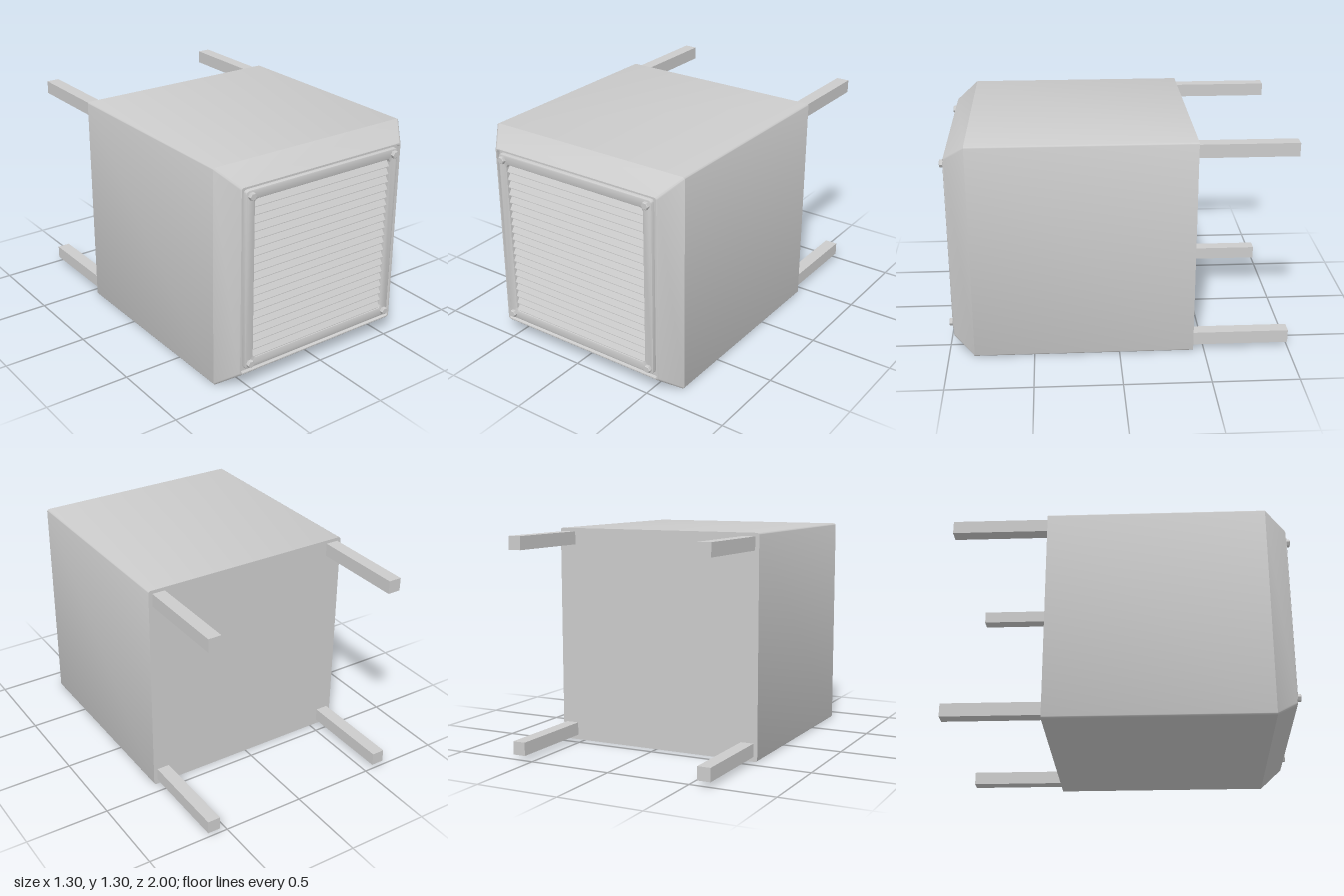
import * as THREE from 'three';
import { toCreasedNormals } from 'three/addons/utils/BufferGeometryUtils.js';

const CY = 0.65; // height of the cabinet's centre
const material = new THREE.MeshStandardMaterial({ color: 0xcccccc });

function add(parent, name, geometry, x = 0, y = 0, z = 0) {
  const mesh = new THREE.Mesh(geometry, material);
  mesh.name = name;
  mesh.position.set(x, y, z);
  parent.add(mesh);
  return mesh;
}

// Rounded square outline, counter-clockwise seen from the front
function squarePoints(half, radius, steps = 5) {
  const points = [];
  for (let corner = 0; corner < 4; corner++) {
    const mid = Math.PI / 4 + corner * Math.PI / 2;
    const cx = Math.sign(Math.cos(mid)) * (half - radius);
    const cy = Math.sign(Math.sin(mid)) * (half - radius);
    for (let i = 0; i <= steps; i++) {
      const a = (corner + i / steps) * Math.PI / 2;
      points.push(new THREE.Vector2(cx + radius * Math.cos(a), cy + radius * Math.sin(a)));
    }
  }
  return points;
}

// Skin through rounded squares given as [half width, z, corner radius]
function loftSquares(sections) {
  const positions = [], index = [];
  const rings = sections.map(([half, , radius]) => squarePoints(half, radius));
  const n = rings[0].length;
  rings.forEach((ring, i) => ring.forEach(p => positions.push(p.x, p.y, sections[i][1])));
  for (let i = 0; i < rings.length - 1; i++) {
    for (let j = 0; j < n; j++) {
      const a = i * n + j, b = i * n + (j + 1) % n;
      index.push(a, b, b + n, a, b + n, a + n);
    }
  }
  const geometry = new THREE.BufferGeometry();
  geometry.setAttribute('position', new THREE.Float32BufferAttribute(positions, 3));
  geometry.setIndex(index);
  return toCreasedNormals(geometry, 0.5);
}

export function createModel() {
  const group = new THREE.Group();

  // Cabinet skin: straight sides, sloped hood, raised lip and groove
  add(group, 'cabinetShell', loftSquares([
    [0.65, -0.435, 0.015], [0.65, 0.85, 0.015],
    [0.562, 0.967, 0.015], [0.557, 0.972, 0.014], [0.55, 0.972, 0.012],
    [0.546, 0.955, 0.01], [0.5, 0.955, 0.01],
  ]), 0, CY, 0);
  const back = new THREE.ShapeGeometry(new THREE.Shape(squarePoints(0.65, 0.015)));
  back.rotateY(Math.PI);
  add(group, 'backPanel', back, 0, CY, -0.435);

  // Grille frame with a rounded opening
  const frameShape = new THREE.Shape(squarePoints(0.532, 0.02));
  frameShape.holes.push(new THREE.Path(squarePoints(0.475, 0.02).reverse()));
  const frame = new THREE.ExtrudeGeometry(frameShape, {
    depth: 0.05, bevelEnabled: true, bevelThickness: 0.006, bevelSize: 0.006,
    bevelOffset: -0.006, bevelSegments: 2,
  });
  add(group, 'grilleFrame', toCreasedNormals(frame, 0.5), 0, CY + 0.005, 0.924);

  // Louvre slats, each leaning back towards its top
  const slats = 20, pitch = 0.0475, width = 0.965;
  const slatShape = new THREE.Shape([
    new THREE.Vector2(-0.94, 0), new THREE.Vector2(-0.94, pitch + 0.001),
    new THREE.Vector2(-0.945, pitch + 0.001),
    new THREE.Vector2(-0.975, 0.004), new THREE.Vector2(-0.975, 0),
  ]);
  const slat = new THREE.ExtrudeGeometry(slatShape, { depth: width, bevelEnabled: false });
  slat.translate(0, 0, -width / 2);
  slat.rotateY(Math.PI / 2); // profile depth now runs along z, length along x
  const louvre = new THREE.Group();
  louvre.name = 'louvre';
  group.add(louvre);
  for (let i = 0; i < slats; i++) add(louvre, 'slat', slat, 0, 0.18 + i * pitch, 0);

  // Chamfered hexagonal bolts at the frame corners
  const hexagon = (top, bottom, height) => {
    const g = new THREE.CylinderGeometry(top, bottom, height, 6).toNonIndexed();
    g.rotateY(Math.PI / 6);
    g.rotateX(Math.PI / 2);
    g.computeVertexNormals();
    return g;
  };
  const boltHead = hexagon(0.023, 0.023, 0.019);
  const boltCap = hexagon(0.019, 0.023, 0.004);

  // Square legs behind the cabinet, with a bolt in front of each
  const leg = new THREE.BoxGeometry(0.078, 0.078, 0.57);
  for (const x of [-1, 1]) {
    for (const y of [-1, 1]) {
      add(group, 'rearLeg', leg, x * 0.587, CY + 0.004 + y * 0.587, -0.715);
      add(group, 'boltHead', boltHead, x * 0.5, CY + 0.005 + y * 0.5, 0.9865);
      add(group, 'boltCap', boltCap, x * 0.5, CY + 0.005 + y * 0.5, 0.998);
    }
  }
  return group;
}
